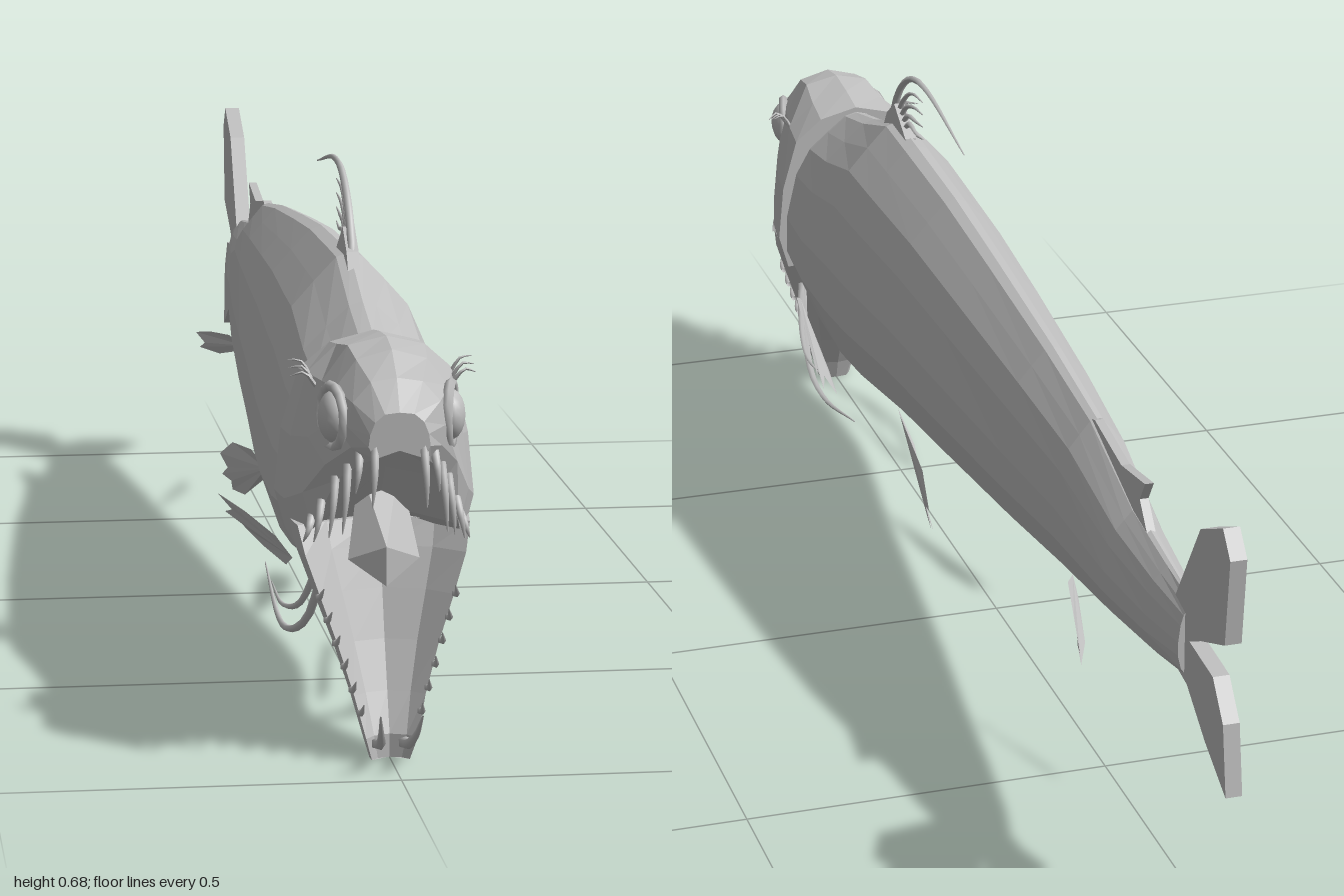
import * as THREE from 'three';

const skin = new THREE.MeshStandardMaterial({ color: 0xbfbfbf, side: THREE.DoubleSide });
skin.name = 'pale grey skin';
const V = (p) => new THREE.Vector3(...p);
const flip = (p) => [-p[0], p[1], p[2]];

function add(group, name, geometry) {
  const mesh = new THREE.Mesh(geometry, skin);
  mesh.name = name;
  group.add(mesh);
  return mesh;
}

// Faceted geometry from points and triangles
function faceted(points, index) {
  const g = new THREE.BufferGeometry();
  g.setAttribute('position', new THREE.Float32BufferAttribute(points.flat(), 3));
  g.setIndex(index);
  const flat = g.toNonIndexed();
  flat.computeVertexNormals();
  return flat;
}

// Skin closed rings of equal length, with both ends capped
function loft(rings) {
  const n = rings[0].length, points = rings.flat(), index = [];
  for (let s = 0; s < rings.length - 1; s++) {
    for (let i = 0; i < n; i++) {
      const a = s * n + i, b = s * n + (i + 1) % n;
      index.push(a, a + n, b, b, a + n, b + n);
    }
  }
  [0, rings.length - 1].forEach((s) => {
    const c = points.length;
    points.push([0, 1, 2].map((k) => rings[s].reduce((t, p) => t + p[k], 0) / n));
    for (let i = 0; i < n; i++) {
      const a = s * n + i, b = s * n + (i + 1) % n;
      index.push(...(s === 0 ? [c, a, b] : [c, b, a]));
    }
  });
  return faceted(points, index);
}

// Complete a half section that runs along the +x side between two centre points
const mirrored = (half) => [...half, ...half.slice(1, -1).reverse().map(flip)];

// Tapering curved spine along a path of points
function spine(path, radius, steps = 10, sides = 5) {
  const curve = new THREE.CatmullRomCurve3(path.map(V));
  const g = new THREE.TubeGeometry(curve, steps, radius, sides);
  const pos = g.attributes.position;
  for (let s = 0; s <= steps; s++) {
    const c = curve.getPointAt(s / steps), k = 1 - 0.85 * (s / steps) ** 1.5;
    for (let i = 0; i <= sides; i++) {
      const at = s * (sides + 1) + i;
      const p = new THREE.Vector3().fromBufferAttribute(pos, at).sub(c).multiplyScalar(k).add(c);
      pos.setXYZ(at, p.x, p.y, p.z);
    }
  }
  g.computeVertexNormals();
  return g;
}

// Thin folded fin: fan of triangles from the root
const fin = (pts) => faceted(pts, pts.slice(2).flatMap((_, i) => [0, i + 1, i + 2]));

// Flat plate standing on the centre plane, outlined in [z, y]
function plate(outline, depth) {
  const shape = new THREE.Shape(outline.map(([z, y]) => new THREE.Vector2(z, y)));
  return new THREE.ExtrudeGeometry(shape, { depth, bevelEnabled: false })
    .rotateY(-Math.PI / 2).translate(depth / 2, 0, 0);
}

const both = (group, name, build, path) => {
  add(group, name + 'Left', build(path));
  add(group, name + 'Right', build(path.map(flip)));
};

export function createModel() {
  const fish = new THREE.Group();
  fish.name = 'deepSeaFish';

  // Long tapering body: z, bottom, top, half width
  const profile = [[0, 0], [0.42, 0.02], [0.78, 0.12], [1, 0.3], [0.99, 0.48],
    [0.85, 0.7], [0.65, 0.83], [0.4, 0.91], [0.15, 0.985], [0, 1]];
  const body = [
    [0.79, 0.22, 0.5, 0.1], [0.73, 0.195, 0.505, 0.115], [0.63, 0.172, 0.53, 0.118],
    [0.5, 0.158, 0.573, 0.118], [0.4, 0.165, 0.57, 0.114], [0.2, 0.195, 0.562, 0.104],
    [0, 0.215, 0.545, 0.093], [-0.26, 0.24, 0.52, 0.076], [-0.45, 0.26, 0.495, 0.06],
    [-0.62, 0.278, 0.44, 0.046], [-0.75, 0.292, 0.422, 0.034], [-0.84, 0.305, 0.41, 0.02],
  ].map(([z, lo, hi, w]) => mirrored(profile.map(([x, t]) => [x * w, lo + t * (hi - lo), z])));
  add(fish, 'body', loft(body));

  // Upper head with the mouth roof on its underside
  const head = [
    [0.972, [[0, 0.405], [0.03, 0.395], [0.038, 0.41], [0.036, 0.425], [0.03, 0.44], [0.018, 0.45], [0, 0.452]]],
    [0.945, [[0, 0.41], [0.042, 0.385], [0.056, 0.405], [0.06, 0.43], [0.054, 0.46], [0.032, 0.485], [0, 0.49]]],
    [0.9, [[0, 0.40], [0.068, 0.355], [0.082, 0.375], [0.074, 0.43], [0.07, 0.47], [0.044, 0.505], [0, 0.517]]],
    [0.85, [[0, 0.36], [0.092, 0.285], [0.104, 0.33], [0.097, 0.4], [0.08, 0.47], [0.048, 0.514], [0, 0.525]]],
    [0.79, [[0, 0.30], [0.105, 0.25], [0.12, 0.31], [0.112, 0.39], [0.092, 0.47], [0.054, 0.505], [0, 0.52]]],
    [0.735, [[0, 0.27], [0.112, 0.26], [0.126, 0.31], [0.118, 0.39], [0.096, 0.465], [0.056, 0.498], [0, 0.512]]],
  ].map(([z, half]) => mirrored(half.map(([x, y]) => [x, y, z])));
  add(fish, 'head', loft(head));

  // Hanging lower jaw: height, front z, back z, half width
  const jaw = [
    [0, 0.905, 0.875, 0.025], [0.03, 0.915, 0.865, 0.034], [0.08, 0.895, 0.84, 0.047],
    [0.14, 0.88, 0.8, 0.066], [0.2, 0.868, 0.765, 0.088], [0.25, 0.855, 0.74, 0.106],
    [0.285, 0.835, 0.735, 0.114],
  ].map(([y, zf, zb, w]) => {
    const d = zf - zb;
    return mirrored([[0, y, zb], [w * 0.7, y, zb + d * 0.1], [w, y, zb + d * 0.5],
      [w * 0.95, y, zf], [w * 0.6, y, zf - d * 0.3], [0, y, zf - d * 0.45]]);
  });
  add(fish, 'lowerJaw', loft(jaw));
  add(fish, 'tongue', faceted([[0, 0.21, 0.86], [0.045, 0.24, 0.835], [0.025, 0.35, 0.79], [-0.025, 0.35, 0.79],
    [-0.045, 0.24, 0.835], [0, 0.26, 0.86]], [0, 1, 5, 0, 5, 4, 5, 1, 2, 5, 2, 3, 5, 3, 4]));

  // Eyes in raised sockets, with short brow bristles
  for (const s of [1, -1]) {
    const side = s > 0 ? 'Left' : 'Right';
    const eye = add(fish, 'eye' + side, new THREE.SphereGeometry(0.033, 14, 10));
    eye.scale.x = 0.65;
    eye.position.set(s * 0.07, 0.435, 0.9);
    const socket = add(fish, 'eyeSocket' + side, new THREE.TorusGeometry(0.038, 0.007, 5, 14));
    socket.rotation.y = s * Math.PI / 2 - s * 0.25;
    socket.position.set(s * 0.073, 0.435, 0.9);
  }
  for (let i = 0; i < 3; i++) {
    const z = 0.83 - i * 0.018;
    both(fish, 'browBristle', (p) => spine(p, 0.003, 5),
      [[0.085, 0.46, z], [0.1, 0.478 + i * 0.004, z + 0.005], [0.116, 0.472 + i * 0.007, z - 0.005]]);
  }

  // Upper fangs: root x, y, z and length
  for (const [x, y, z, len] of [[0.03, 0.41, 0.966, 0.075], [0.046, 0.4, 0.945, 0.05],
    [0.058, 0.38, 0.925, 0.085], [0.07, 0.36, 0.9, 0.075], [0.084, 0.325, 0.875, 0.05], [0.093, 0.3, 0.85, 0.03]]) {
    both(fish, 'upperFang', (p) => spine(p, 0.006, 6),
      [[x, y, z], [x * 1.06, y - len * 0.5, z + 0.016], [x * 1.12, y - len, z + 0.01]]);
  }

  // Lower teeth along the jaw rim, and the long hooked tip fangs
  for (let i = 0; i < 6; i++) {
    const y = 0.06 + i * 0.028, x = 0.038 + i * 0.0095, z = 0.9 - i * 0.007;
    both(fish, 'lowerTooth', (p) => spine(p, 0.005, 4),
      [[x, y, z], [x, y + 0.003, z + 0.014], [x * 0.96, y + 0.016, z + 0.026]]);
  }
  both(fish, 'tipFang', (p) => spine(p, 0.008, 8),
    [[0.017, 0.02, 0.9], [0.018, 0.03, 0.94], [0.022, 0.05, 0.975], [0.026, 0.08, 1]]);

  // Chin barbels sweeping back
  both(fish, 'longBarbel', (p) => spine(p, 0.006, 14),
    [[0.075, 0.2, 0.79], [0.085, 0.145, 0.745], [0.098, 0.11, 0.66], [0.102, 0.105, 0.57], [0.1, 0.138, 0.4]]);
  both(fish, 'shortBarbel', (p) => spine(p, 0.005, 12),
    [[0.08, 0.21, 0.78], [0.092, 0.165, 0.74], [0.106, 0.142, 0.66], [0.11, 0.15, 0.56]]);

  // Front dorsal fin: base web, one long lure and shorter rays
  add(fish, 'dorsalBase', plate([[0.55, 0.55], [0.53, 0.578], [0.49, 0.605], [0.43, 0.57], [0.43, 0.54]], 0.016));
  add(fish, 'lureRay', spine([[0, 0.565, 0.53], [0, 0.625, 0.49], [0, 0.668, 0.42], [0, 0.675, 0.34],
    [0, 0.645, 0.155]], 0.006, 16));
  for (let i = 0; i < 4; i++) {
    const k = i * 0.019;
    add(fish, 'dorsalRay', spine([[0, 0.565, 0.515 - k * 0.8], [0, 0.62 - k * 0.5, 0.465 - k * 0.5],
      [0, 0.645 - k, 0.42 - k * 0.4], [0, 0.65 - k, 0.365]], 0.005, 8));
  }

  // Paired fins: pectoral, pelvic and anal
  both(fish, 'pectoralFin', fin, [[0.1, 0.215, 0.71], [0.117, 0.235, 0.67], [0.14, 0.235, 0.52],
    [0.162, 0.23, 0.38], [0.148, 0.218, 0.43], [0.152, 0.205, 0.38], [0.135, 0.2, 0.44],
    [0.126, 0.185, 0.4], [0.112, 0.182, 0.5], [0.1, 0.19, 0.64]]);
  both(fish, 'pelvicFin', fin, [[0.08, 0.23, 0.23], [0.094, 0.245, 0.17], [0.104, 0.225, 0.02],
    [0.115, 0.195, -0.05], [0.108, 0.182, -0.01], [0.112, 0.165, -0.05], [0.104, 0.165, 0],
    [0.1, 0.148, -0.02], [0.09, 0.155, 0.05], [0.075, 0.2, 0.16]]);
  both(fish, 'analFin', fin, [[0.035, 0.275, -0.46], [0.055, 0.285, -0.5], [0.075, 0.275, -0.59],
    [0.09, 0.262, -0.66], [0.08, 0.252, -0.62], [0.085, 0.24, -0.65], [0.06, 0.24, -0.59], [0.04, 0.26, -0.5]]);

  // Rear dorsal fin and forked tail
  add(fish, 'rearDorsalFin', plate([[-0.42, 0.485], [-0.46, 0.497], [-0.57, 0.48], [-0.665, 0.495],
    [-0.645, 0.465], [-0.675, 0.43], [-0.6, 0.42], [-0.5, 0.45]], 0.012));
  add(fish, 'upperTailLobe', plate([[-0.78, 0.37], [-0.81, 0.415], [-0.89, 0.535], [-0.97, 0.572],
    [-0.998, 0.54], [-0.985, 0.42], [-0.9, 0.385], [-0.83, 0.35]], 0.022));
  add(fish, 'lowerTailLobe', plate([[-0.78, 0.35], [-0.84, 0.365], [-0.945, 0.357], [-0.985, 0.31],
    [-1, 0.215], [-0.92, 0.255], [-0.85, 0.3], [-0.78, 0.31]], 0.022));
  return fish;
}
